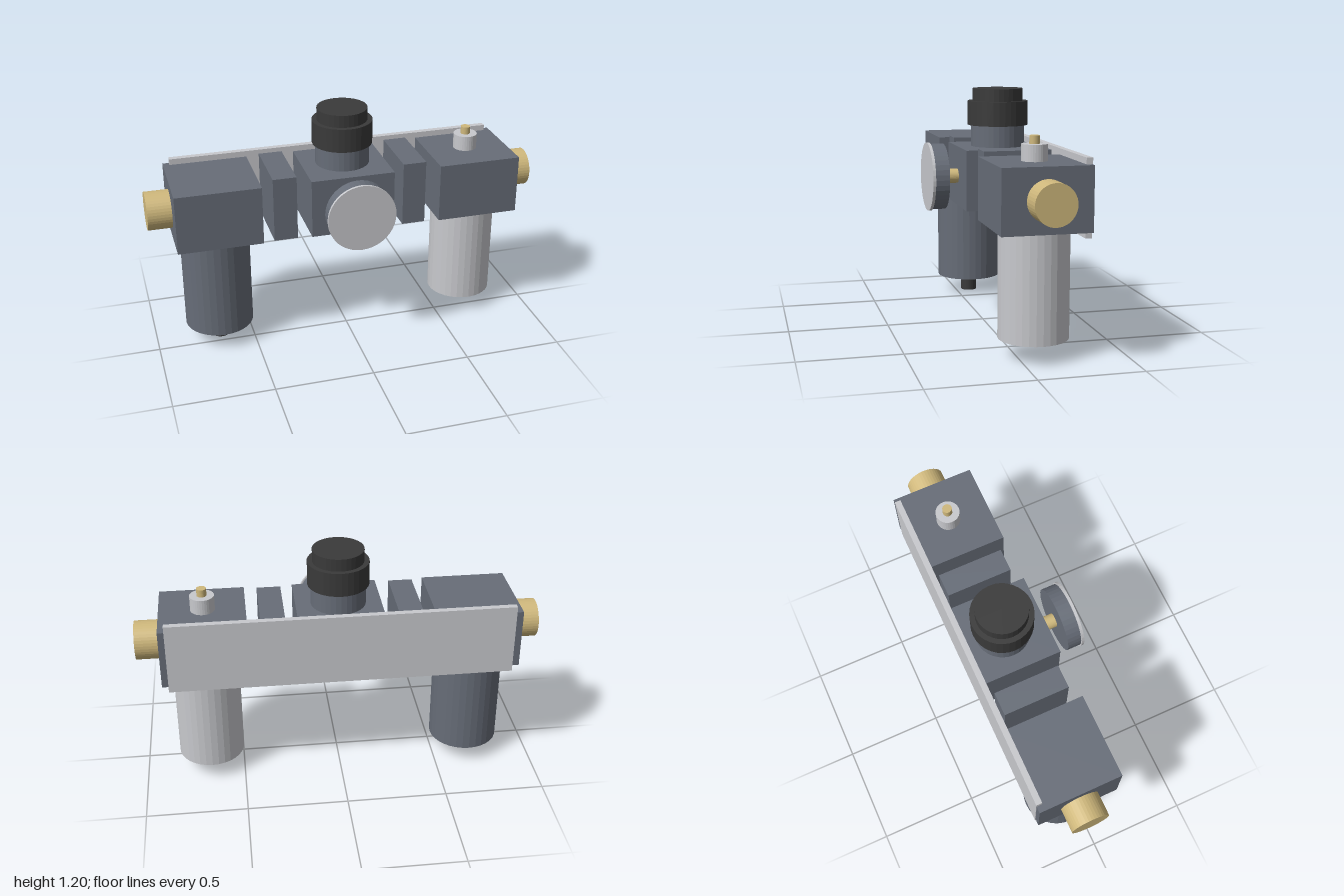
import * as THREE from 'three';

const flat = (name, color) => {
  const m = new THREE.MeshStandardMaterial({ color });
  m.name = name;
  m.flatShading = true;
  return m;
};

export function createModel() {
  const group = new THREE.Group();
  group.name = 'airPreparationUnit';

  const slate = flat('slateGrey', 0x676d78);
  const silver = flat('silverGrey', 0xc8c9cd);
  const brass = flat('brass', 0xcfb87c);
  const black = flat('black', 0x3a3a3a);

  const Z = -0.077; // depth of the main axis
  const PORT_Y = 0.76;

  function add(name, geometry, material, x, y, z) {
    const mesh = new THREE.Mesh(geometry, material);
    mesh.name = name;
    mesh.position.set(x, y, z);
    group.add(mesh);
    return mesh;
  }

  // box given by its limits
  function box(name, material, x0, x1, y0, y1, z0, z1) {
    add(name, new THREE.BoxGeometry(x1 - x0, y1 - y0, z1 - z0), material,
      (x0 + x1) / 2, (y0 + y1) / 2, (z0 + z1) / 2);
  }

  // upright cylinder from y0 to y1
  function post(name, material, x, r, y0, y1) {
    add(name, new THREE.CylinderGeometry(r, r, y1 - y0, 32), material, x, (y0 + y1) / 2, Z);
  }

  // cylinder pointing forward from z0 to z1
  function disc(name, material, r, z0, z1) {
    const g = new THREE.CylinderGeometry(r, r, z1 - z0, 40).rotateX(Math.PI / 2);
    add(name, g, material, 0, PORT_Y, (z0 + z1) / 2);
  }

  // valve bodies
  box('filterBody', slate, -0.88, -0.457, 0.61, 0.91, -0.288, 0.133);
  box('regulatorBody', slate, -0.212, 0.212, 0.61, 0.91, -0.288, 0.133);
  box('lubricatorBody', slate, 0.455, 0.878, 0.61, 0.91, -0.288, 0.133);

  // spacers between the bodies
  box('spacerRight', slate, -0.395, -0.276, 0.593, 0.925, -0.243, 0.09);
  box('spacerLeft', slate, 0.273, 0.392, 0.593, 0.925, -0.243, 0.09);

  // mounting plate behind
  box('mountingPlate', silver, -0.847, 0.847, 0.58, 0.94, -0.29, -0.26);

  // brass ports at both ends
  for (const side of [-1, 1]) {
    const g = new THREE.CylinderGeometry(0.096, 0.096, 0.13, 40).rotateZ(Math.PI / 2);
    add(side < 0 ? 'inletPort' : 'outletPort', g, brass, side * 0.935, PORT_Y, Z);
  }

  // bowls and drain
  post('filterBowl', slate, -0.67, 0.175, 0.092, 0.611);
  post('drain', black, -0.668, 0.044, 0, 0.093);
  post('lubricatorBowl', silver, 0.665, 0.166, 0.092, 0.611);

  // regulator neck and knob
  post('regulatorNeck', slate, 0, 0.136, 0.9, 1.02);
  post('knobGrip', black, 0, 0.152, 1.017, 1.138);
  post('knobTop', black, 0, 0.127, 1.13, 1.2);

  // oil fill fitting
  post('fillCap', silver, 0.663, 0.06, 0.9, 0.987);
  post('fillPin', brass, 0.663, 0.024, 0.98, 1.025);

  // pressure gauge
  disc('gaugeStem', brass, 0.036, 0.125, 0.21);
  disc('gaugeCase', slate, 0.165, 0.205, 0.277);
  disc('gaugeFace', silver, 0.172, 0.276, 0.29);

  return group;
}
